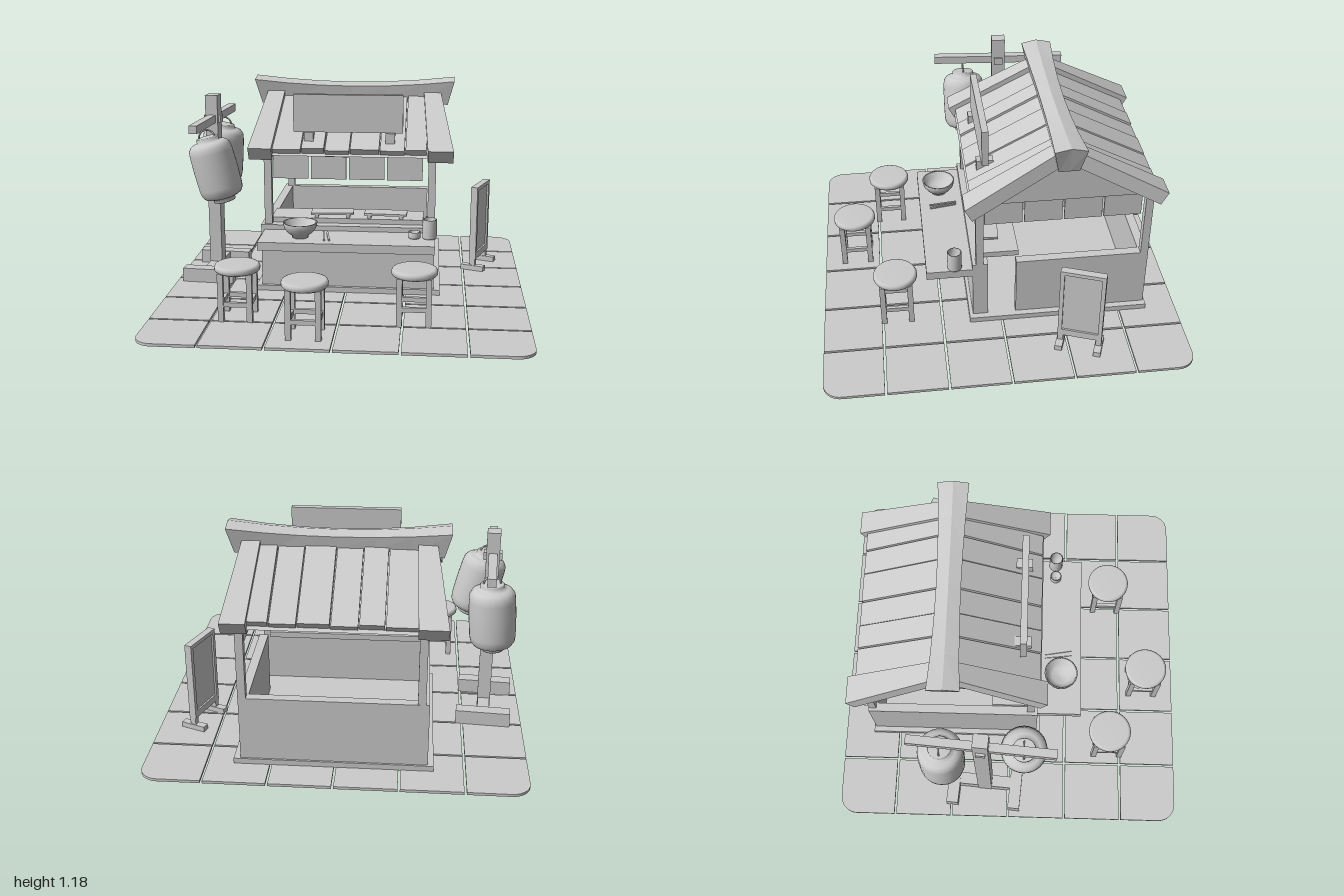
import * as THREE from 'three';

const flat = new THREE.MeshStandardMaterial({ color: 0xcccccc, flatShading: true });
const smooth = new THREE.MeshStandardMaterial({ color: 0xcccccc, side: THREE.DoubleSide });

function add(parent, name, geometry, x = 0, y = 0, z = 0, material = flat) {
  const mesh = new THREE.Mesh(geometry, material);
  mesh.name = name;
  mesh.position.set(x, y, z);
  parent.add(mesh);
  return mesh;
}

// Box given by its extents on each axis
function box(parent, name, x0, x1, y0, y1, z0, z1) {
  return add(parent, name, new THREE.BoxGeometry(x1 - x0, y1 - y0, z1 - z0),
    (x0 + x1) / 2, (y0 + y1) / 2, (z0 + z1) / 2);
}

function group(parent, name, x = 0, y = 0, z = 0) {
  const g = new THREE.Group();
  g.name = name;
  g.position.set(x, y, z);
  parent.add(g);
  return g;
}

// Move every vertex of a geometry by a rule
function warp(geometry, rule) {
  const p = geometry.attributes.position, v = new THREE.Vector3();
  for (let i = 0; i < p.count; i++) {
    rule(v.fromBufferAttribute(p, i));
    p.setXYZ(i, v.x, v.y, v.z);
  }
  geometry.computeVertexNormals();
  return geometry;
}

const lathe = (pts, n = 32) => new THREE.LatheGeometry(pts.map(p => new THREE.Vector2(...p)), n);

// Paving tiles, the four outer ones with a rounded corner
function buildPaving(root) {
  const g = group(root, 'paving');
  const w = 0.3235, d = 0.3205, r = 0.1;
  const corner = new THREE.Shape();
  corner.moveTo(0, 0).lineTo(w, 0).lineTo(w, d - r);
  corner.absarc(w - r, d - r, r, 0, Math.PI / 2);
  corner.lineTo(0, d);
  for (let i = 0; i < 6; i++) for (let j = 0; j < 6; j++) {
    const x = (i - 2.5) * 0.3353, z = (j - 2.5) * 0.332;
    if (i % 5 || j % 5) {
      add(g, 'tile', new THREE.BoxGeometry(w, 0.015, d), x, 0.0075, z);
      continue;
    }
    const sx = Math.sign(x), sz = Math.sign(z);
    const geo = new THREE.ExtrudeGeometry(corner, { depth: 0.015, bevelEnabled: false, curveSegments: 8 });
    geo.translate(-w / 2, -d / 2, 0).rotateX(-Math.PI / 2);
    const flip = sx * -sz < 0;
    if (flip) geo.rotateY(sx > 0 ? -Math.PI / 2 : Math.PI / 2).scale(w / d, 1, d / w);
    else if (sx < 0) geo.rotateY(Math.PI);
    add(g, 'cornerTile', geo, x, 0, z);
  }
}

// Walls, posts, counters and hanging cloths
function buildStall(root) {
  const g = group(root, 'stall');
  box(g, 'plinth', -0.51, 0.53, 0.012, 0.045, -0.82, 0.18);
  box(g, 'frontWall', -0.48, 0.495, 0.045, 0.4, 0.075, 0.16);
  box(g, 'leftSideWall', -0.48, -0.43, 0.045, 0.4, -0.81, 0.075);
  box(g, 'rightSideWall', 0.445, 0.495, 0.045, 0.4, -0.81, -0.08);
  box(g, 'backWall', -0.43, 0.445, 0.045, 0.4, -0.81, -0.76);
  box(g, 'servingShelf', -0.46, 0.497, 0.325, 0.372, 0.16, 0.41);
  box(g, 'counterTop', -0.43, 0.43, 0.395, 0.428, -0.1, 0.1);
  for (const x of [-0.44, 0.475]) for (const z of [0.12, -0.788])
    box(g, 'post', x - 0.021, x + 0.021, 0.39, 0.83, z - 0.021, z + 0.021);
  for (let i = 0; i < 4; i++) {
    const x = -0.41 + i * 0.212, z = 0.093 - i * 0.213;
    box(g, 'frontCloth', x, x + 0.197, 0.662, 0.81, 0.115, 0.125);
    box(g, 'sideCloth', 0.47, 0.48, 0.662, 0.81, z - 0.203, z);
  }
}

// Gabled roof: solid core, planks, flared edge boards and swept ridge beam
function buildRoof(root) {
  const g = group(root, 'roof', 0, 0, -0.33);
  const gable = new THREE.Shape();
  gable.moveTo(-0.5, 0.8).lineTo(0.5, 0.8).lineTo(0, 1.07);
  const core = new THREE.ExtrudeGeometry(gable, { depth: 0.94, bevelEnabled: false });
  add(g, 'gableCore', core.rotateY(Math.PI / 2), -0.45);

  // Sloping board: x ranges at ridge and eave, top height at both, reach, thickness
  const slope = (parent, name, [a, b], [c, d], yRidge, yEave, reach, t) => {
    const n = new THREE.Vector2(yRidge - yEave, reach).normalize();
    add(parent, name, warp(new THREE.BoxGeometry(1, 1, 1), v => {
      const u = v.x + 0.5, k = v.z + 0.5, h = (v.y - 0.5) * t;
      v.x = THREE.MathUtils.lerp(a + (b - a) * u, c + (d - c) * u, k);
      v.y = THREE.MathUtils.lerp(yRidge, yEave, k) + n.y * h;
      v.z = reach * k + n.x * h;
    }));
  };
  const seams = [-0.415, -0.25, -0.12, 0.02, 0.185, 0.325, 0.445];
  const lifts = [0, 0.008, -0.003, 0.006, 0, 0.007];
  for (const back of [false, true]) {
    const side = group(g, back ? 'backSlope' : 'frontSlope');
    if (back) side.rotation.y = Math.PI;
    const range = (a, b) => back ? [-b, -a] : [a, b];
    for (let i = 0; i < 6; i++) {
      const x = range(seams[i] + 0.003, seams[i + 1] - 0.003);
      slope(side, 'roofPlank', x, x, 1.1 + lifts[i], 0.835 + lifts[i], 0.495, 0.045);
    }
    slope(side, 'leftEdgeBoard', range(-0.49, -0.395), back ? range(-0.56, -0.41) : range(-0.54, -0.41), 1.135, 0.845, 0.535, 0.08);
    slope(side, 'rightEdgeBoard', range(0.415, 0.507), back ? range(0.43, 0.56) : range(0.45, 0.59), 1.135, 0.845, 0.535, 0.08);
  }

  add(g, 'ridgeBeam', warp(new THREE.BoxGeometry(2, 1, 2, 6, 1, 2), v => {
    const lift = v.x * v.x, top = v.y > 0;
    v.y = top ? 1.13 + 0.035 * lift + (v.z === 0 ? 0.018 : 0) : 1.06 - 0.035 * lift;
    v.z *= top ? 0.065 + 0.02 * lift : 0.055;
    v.x = 0.012 + v.x * (top ? 0.582 : 0.545);
  }));

  // Blank signboard on the front slope
  const sign = group(root, 'signboard');
  box(sign, 'signPanel', -0.3, 0.31, 0.92, 1.13, 0.05, 0.086);
  for (const x of [-0.212, 0.24]) box(sign, 'signBracket', x - 0.026, x + 0.026, 0.865, 0.922, 0.02, 0.11);
}

// Post with cross arm, footed base and two hanging lanterns
function buildLanternPost(root) {
  const g = group(root, 'lanternPost', -0.8, 0, -0.135);
  g.rotation.y = -0.075;
  box(g, 'post', -0.036, 0.036, 0.015, 1.09, -0.04, 0.04);
  box(g, 'crossArm', -0.023, 0.023, 0.93, 0.975, -0.39, 0.39);
  box(g, 'armCollar', -0.05, 0.05, 0.93, 0.972, -0.025, 0.025);
  box(g, 'baseBeam', -0.033, 0.033, 0.015, 0.09, -0.18, 0.18);
  for (const z of [-0.18, 0.18]) box(g, 'foot', -0.15, 0.15, 0.015, 0.095, z - 0.034, z + 0.034);

  const body = lathe([[0, -0.43], [0.06, -0.43], [0.063, -0.425], [0.063, -0.405], [0.085, -0.403],
    [0.105, -0.394], [0.119, -0.372], [0.123, -0.34], [0.125, -0.24], [0.123, -0.14], [0.119, -0.108],
    [0.105, -0.088], [0.085, -0.078], [0.063, -0.076], [0.063, -0.056], [0.058, -0.05], [0, -0.05]]);
  for (const [x, z, tilt] of [[-0.805, 0.085, 0.25], [-0.785, -0.355, -0.06]]) {
    const lantern = group(root, 'lantern', x, 0.93, z);
    lantern.rotation.z = tilt;
    add(lantern, 'lanternBody', body, 0, 0, 0, smooth);
    add(lantern, 'wireHandle', new THREE.TorusGeometry(0.045, 0.005, 6, 16, Math.PI), 0, -0.055, 0, smooth);
    add(lantern, 'hanger', new THREE.CylinderGeometry(0.005, 0.005, 0.04, 8), 0, 0.005, 0, smooth);
  }
}

function buildStool(root, x, z) {
  const g = group(root, 'stool', x, 0, z);
  add(g, 'seat', lathe([[0, 0.272], [0.112, 0.272], [0.12, 0.28], [0.121, 0.295], [0.115, 0.306],
    [0.105, 0.31], [0, 0.31]]), 0, 0, 0, smooth);
  for (const s of [-1, 1]) {
    const o = s * 0.076;
    for (const t of [-0.076, 0.076]) box(g, 'leg', o - 0.015, o + 0.015, 0.015, 0.275, t - 0.015, t + 0.015);
    box(g, 'sideRung', o - 0.009, o + 0.009, 0.095, 0.12, -0.065, 0.065);
    box(g, 'crossRung', -0.065, 0.065, 0.095, 0.12, o - 0.009, o + 0.009);
  }
}

// Bowl, chopsticks, cups and serving trays
function buildTableware(root) {
  const g = group(root, 'tableware');
  add(g, 'bowl', lathe([[0, 0], [0.045, 0], [0.045, 0.012], [0.07, 0.03], [0.088, 0.055], [0.095, 0.085],
    [0.085, 0.085], [0.076, 0.055], [0.05, 0.032], [0, 0.026]]), -0.24, 0.372, 0.29, smooth);
  for (const [x, r] of [[-0.112, 0.12], [-0.088, 0.17]])
    add(g, 'chopstick', new THREE.BoxGeometry(0.01, 0.008, 0.155), x, 0.376, 0.275).rotation.y = r;
  for (const [x, r, h] of [[0.385, 0.033, 0.036], [0.468, 0.039, 0.108]])
    add(g, 'cup', lathe([[0, 0], [r * 0.93, 0], [r, 0.006], [r, h], [r * 0.84, h], [r * 0.8, h * 0.3], [0, h * 0.3]], 24),
      x, 0.372, 0.255, smooth);
  for (const [x, turn] of [[-0.085, 0.05], [0.218, -0.05]]) {
    const tray = group(g, 'servingTray', x, 0.428, 0.045);
    tray.rotation.y = turn;
    box(tray, 'trayTop', -0.12, 0.12, 0.018, 0.03, -0.05, 0.05);
    for (const s of [-0.09, 0.09]) box(tray, 'trayFoot', s - 0.01, s + 0.01, 0, 0.018, -0.045, 0.045);
  }
}

// Freestanding framed board
function buildMenuBoard(root) {
  const g = group(root, 'standingBoard', 0.77, 0, -0.393);
  g.rotation.y = 1.215;
  const frame = new THREE.Shape();
  frame.moveTo(-0.12, 0.085).lineTo(0.12, 0.085).lineTo(0.12, 0.53).lineTo(-0.12, 0.53);
  const hole = new THREE.Path();
  hole.moveTo(-0.098, 0.125).lineTo(-0.098, 0.508).lineTo(0.098, 0.508).lineTo(0.098, 0.125);
  frame.holes.push(hole);
  add(g, 'boardFrame', new THREE.ExtrudeGeometry(frame, { depth: 0.04, bevelEnabled: false }), 0, 0, -0.02);
  box(g, 'boardPanel', -0.1, 0.1, 0.12, 0.51, -0.01, 0.01);
  for (const x of [-0.105, 0.105]) {
    box(g, 'boardLeg', x - 0.015, x + 0.015, 0.04, 0.09, -0.016, 0.016);
    box(g, 'boardFoot', x - 0.02, x + 0.02, 0.015, 0.045, -0.07, 0.07);
  }
}

export function createModel() {
  const root = new THREE.Group();
  root.name = 'foodStall';
  buildPaving(root);
  buildStall(root);
  buildRoof(root);
  buildLanternPost(root);
  for (const [x, z] of [[-0.535, 0.585], [-0.15, 0.8], [0.395, 0.58]]) buildStool(root, x, z);
  buildTableware(root);
  buildMenuBoard(root);
  return root;
}
